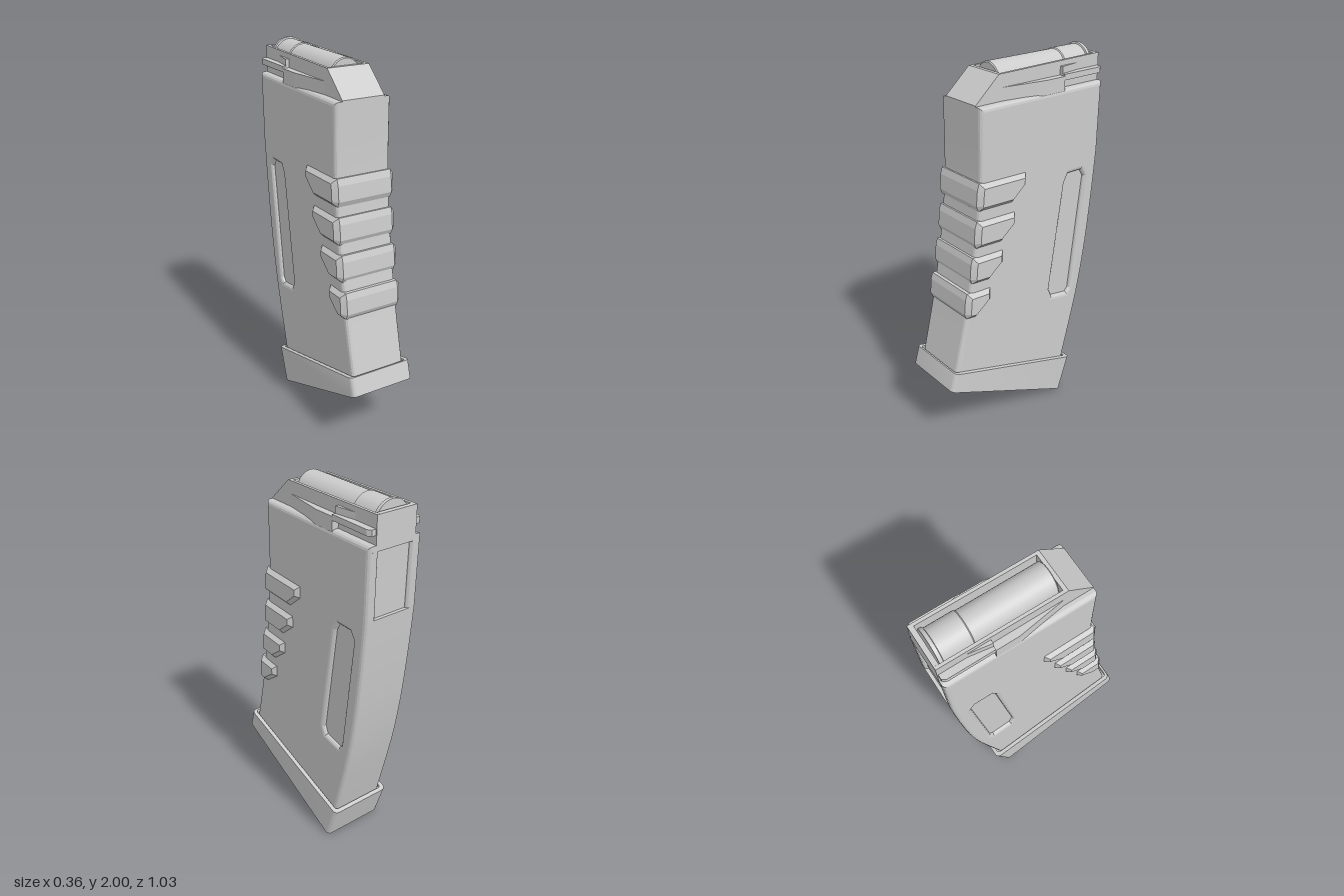
import * as THREE from 'three';
import { toCreasedNormals } from 'three/addons/utils/BufferGeometryUtils.js';

const material = new THREE.MeshStandardMaterial({ color: 0xcccccc });
const toVectors = (points) => points.map(([a, b]) => new THREE.Vector2(a, b));
const curve = (points, n = 20) => new THREE.SplineCurve(toVectors(points)).getPoints(n).map((p) => [p.x, p.y]);

// Extrude a [z, y] side profile across x, between x0 and x1, with an optional edge bevel
function profile(points, x0, x1, { bevel = 0, size = bevel, segments = 1, hole } = {}) {
  const shape = new THREE.Shape(toVectors(points));
  if (hole) shape.holes.push(new THREE.Path(toVectors(hole)));
  const geometry = new THREE.ExtrudeGeometry(shape, {
    depth: x1 - x0 - 2 * bevel, bevelEnabled: bevel > 0, bevelThickness: bevel,
    bevelSize: size, bevelOffset: -size, bevelSegments: segments,
  });
  geometry.rotateY(-Math.PI / 2).translate(x1 - bevel, 0, 0);
  return toCreasedNormals(geometry, 0.2);
}

// Extrude an [x, z] plan outline upwards from y0 to y1
function plan(points, y0, y1) {
  const shape = new THREE.Shape(toVectors(points.map(([x, z]) => [x, -z])));
  const geometry = new THREE.ExtrudeGeometry(shape, { depth: y1 - y0, bevelEnabled: false });
  return geometry.rotateX(-Math.PI / 2).translate(0, y0, 0);
}

// Rounded rectangle loop, tilted between its front and back heights
function tiltedLoop(half, zFront, yFront, zBack, yBack, r) {
  const loop = [];
  for (let corner = 0; corner < 4; corner++) {
    const cx = (corner === 0 || corner === 3 ? 1 : -1) * (half - r);
    const cz = corner < 2 ? zFront - r : zBack + r;
    for (let k = 0; k <= 5; k++) {
      const a = (corner + k / 5) * Math.PI / 2;
      const z = cz + r * Math.sin(a);
      const y = yBack + (yFront - yBack) * (z - zBack) / (zFront - zBack);
      loop.push(new THREE.Vector3(cx + r * Math.cos(a), y, z));
    }
  }
  return loop;
}

// Skin a stack of equal loops and cap both ends
function loft(loops) {
  const points = [];
  const n = loops[0].length;
  const centre = (loop) => loop.reduce((s, p) => s.add(p), new THREE.Vector3()).divideScalar(n);
  const last = loops[loops.length - 1];
  const bottom = centre(loops[0]), top = centre(last);
  for (let i = 0; i < n; i++) {
    const j = (i + 1) % n;
    points.push(bottom, loops[0][i], loops[0][j], top, last[j], last[i]);
    for (let k = 0; k + 1 < loops.length; k++) {
      const a = loops[k], b = loops[k + 1];
      points.push(a[i], b[i], b[j], a[i], b[j], a[j]);
    }
  }
  return toCreasedNormals(new THREE.BufferGeometry().setFromPoints(points), 0.5);
}

export function createModel() {
  const model = new THREE.Group();
  const add = (name, geometry) => {
    const mesh = new THREE.Mesh(geometry, material);
    mesh.name = name;
    model.add(mesh);
    return mesh;
  };

  // Curved body: a core with a recessed rear panel, between two side shells
  const front = curve([[0.47, 0.4], [0.46, 0.45], [0.395, 0.72], [0.35, 0.95], [0.31, 1.2], [0.285, 1.45], [0.28, 1.82]]);
  const back = curve([[-0.508, 1.45], [-0.487, 1.2], [-0.453, 0.9], [-0.4, 0.6], [-0.3, 0.2], [-0.29, 0.16]]);
  const panel = [[-0.515, 1.79], [-0.497, 1.79], [-0.49, 1.45]];
  add('bodyCore', profile([...front, [-0.515, 1.82], ...panel, ...back], -0.135, 0.135));

  // Long side recess, cut through each shell down to the core
  const recess = [[-0.275, 1.315], [-0.3, 1.36], [-0.39, 1.36], [-0.415, 1.32],
    [-0.335, 0.66], [-0.315, 0.637], [-0.205, 0.655], [-0.185, 0.7]];
  const shell = [...front, [-0.515, 1.82], ...back];
  for (const [name, x0, x1] of [['leftShell', 0.095, 0.155], ['rightShell', -0.155, -0.095]]) {
    add(name, profile(shell, x0, x1, { bevel: 0.02, size: 0.022, segments: 3, hole: recess }));
  }

  // Grip ribs wrapping the front: [front z, top y, rear z]
  const ribs = [[0.312, 1.455, 0.0], [0.33, 1.26, 0.07], [0.36, 1.07, 0.15], [0.4, 0.88, 0.235]];
  ribs.forEach(([zf, y, zr], i) => {
    const outline = [[zf - 0.018, y], [zf - 0.007, y - 0.035], [zf, y - 0.115], [zf - 0.012, y - 0.143],
      [zr + 0.09 + i * 0.003, y - 0.15], [zr, y - 0.075], [zr, y - 0.008]];
    add('gripRib' + (i + 1), profile(outline, -0.177, 0.177, { bevel: 0.025, size: 0.024 }));
  });

  // Tilted base plate with a shallow socket around the body
  add('basePlate', loft([
    tiltedLoop(0.182, 0.515, 0.35, -0.265, 0.005, 0.025),
    tiltedLoop(0.182, 0.485, 0.45, -0.332, 0.205, 0.025),
    tiltedLoop(0.16, 0.474, 0.447, -0.31, 0.212, 0.015),
    tiltedLoop(0.16, 0.474, 0.425, -0.31, 0.19, 0.015),
  ]));
  add('baseCatch', profile([[0.2, 0.215], [0.185, 0.194], [0.085, 0.148], [0.075, 0.165]], -0.073, 0.073));

  // Feed lips: open-topped neck with a sloping front
  for (const s of [1, -1]) {
    const [x0, x1] = s > 0 ? [0.1, 0.116] : [-0.116, -0.1];
    add(s > 0 ? 'leftLip' : 'rightLip',
      profile([[0.28, 1.81], [0.28, 1.825], [0.14, 1.95], [-0.515, 1.96], [-0.515, 1.81]], x0, x1));
    const mirror = (points) => points.map(([x, z]) => [s * x, z]);
    // Shoulder widening towards the rear, then a locking rail above a notch
    add('shoulder', plan(mirror([[0.11, 0.13], [0.116, 0.12], [0.153, -0.13], [0.153, -0.25], [0.11, -0.25]]), 1.81, 1.885));
    add('lockingRail', plan(mirror([[0.11, -0.25], [0.152, -0.25], [0.152, -0.49], [0.14, -0.51], [0.11, -0.51]]), 1.865, 1.895));
    add('lipGusset', plan(mirror([[0.11, -0.25], [0.135, -0.25], [0.116, -0.37], [0.11, -0.37]]), 1.89, 1.93));
  }
  add('neckFront', profile([[0.28, 1.81], [0.28, 1.825], [0.14, 1.95], [0.12, 1.95], [0.12, 1.81]], -0.1, 0.1));
  add('neckBack', profile([[-0.515, 1.81], [-0.515, 1.96], [-0.49, 1.96], [-0.49, 1.81]], -0.1, 0.1));

  // Top round lying in the neck, rim to the rear
  const round = [[0, -0.115], [0.08, -0.115], [0.085, -0.11], [0.085, 0.31], [0.09, 0.315], [0.09, 0.462],
    [0.098, 0.465], [0.098, 0.483], [0, 0.483]];
  const lathe = new THREE.LatheGeometry(toVectors(round), 40);
  lathe.rotateX(-Math.PI / 2).translate(0, 1.902, 0);
  add('topRound', toCreasedNormals(lathe, 0.4));

  return model;
}
